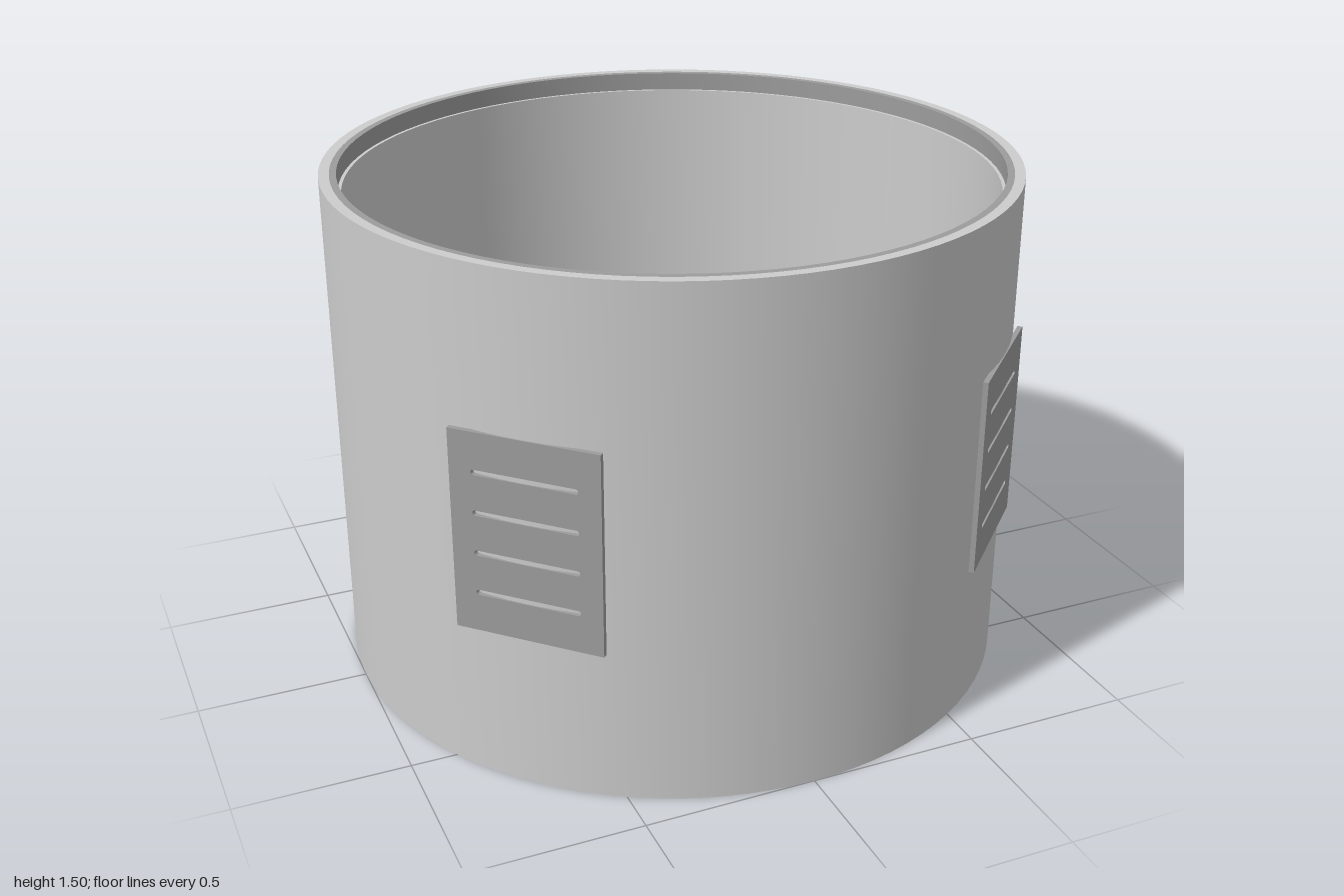
import * as THREE from 'three';
import { toCreasedNormals } from 'three/addons/utils/BufferGeometryUtils.js';

const shellGrey = new THREE.MeshStandardMaterial({ color: 0xcccccc });
shellGrey.name = 'shellGrey';
const panelGrey = new THREE.MeshStandardMaterial({ color: 0x9c9c9c });
panelGrey.name = 'panelGrey';
const gold = new THREE.MeshStandardMaterial({ color: 0xe2c76a });
gold.name = 'gold';

const HEIGHT = 1.495;
const LIP = 0.055; // height of the end rings

function mesh(name, geometry, material) {
  const m = new THREE.Mesh(geometry, material);
  m.name = name;
  return m;
}

// Hard-edged hollow ring between two radii and two heights
function ring(name, inner, outer, bottom, top, material) {
  const profile = [[inner, bottom], [outer, bottom], [outer, top], [inner, top], [inner, bottom]];
  const points = profile.map(([r, y]) => new THREE.Vector2(r, y));
  return mesh(name, toCreasedNormals(new THREE.LatheGeometry(points, 96), 0.5), material);
}

// Thin flat plate with four horizontal rounded slots cut through it
function ventPlateGeometry() {
  const w = 0.215, h = 0.293;
  const plate = new THREE.Shape();
  plate.moveTo(-w, -h);
  plate.lineTo(w, -h);
  plate.lineTo(w, h);
  plate.lineTo(-w, h);
  plate.closePath();
  const half = 0.144, r = 0.0075;
  for (let i = 0; i < 4; i++) {
    const y = -0.176 + i * 0.118;
    const slot = new THREE.Path();
    slot.absarc(half, y, r, Math.PI / 2, -Math.PI / 2, true);
    slot.absarc(-half, y, r, -Math.PI / 2, -Math.PI * 1.5, true);
    slot.closePath();
    plate.holes.push(slot);
  }
  return new THREE.ExtrudeGeometry(plate, { depth: 0.015, bevelEnabled: false, curveSegments: 6 });
}

export function createModel() {
  const model = new THREE.Group();
  model.name = 'ventedCylinder';

  // Open tube and the shorter liner inside it
  model.add(ring('outerShell', 0.97, 1, 0, HEIGHT, shellGrey));
  model.add(ring('innerLiner', 0.94, 0.97, LIP, HEIGHT - LIP, shellGrey));

  // Darker rings lining both ends of the tube
  model.add(ring('bottomRing', 0.95, 0.97, 0, LIP, panelGrey));
  model.add(ring('topRing', 0.95, 0.97, HEIGHT - LIP, HEIGHT, panelGrey));

  // Vent plate outside and locating block inside on each diagonal
  const plateGeometry = ventPlateGeometry();
  const blockGeometry = new THREE.BoxGeometry(0.09, 0.13, 0.067);
  for (let i = 0; i < 4; i++) {
    const station = new THREE.Group();
    station.name = 'station' + (i + 1);
    station.rotation.y = Math.PI / 4 + i * Math.PI / 2;
    const plate = mesh('ventPlate', plateGeometry, panelGrey);
    plate.position.set(0, 0.748, 0.988);
    const block = mesh('locatingBlock', blockGeometry, gold);
    block.position.set(0, 0.067, 0.922);
    station.add(plate, block);
    model.add(station);
  }
  return model;
}
